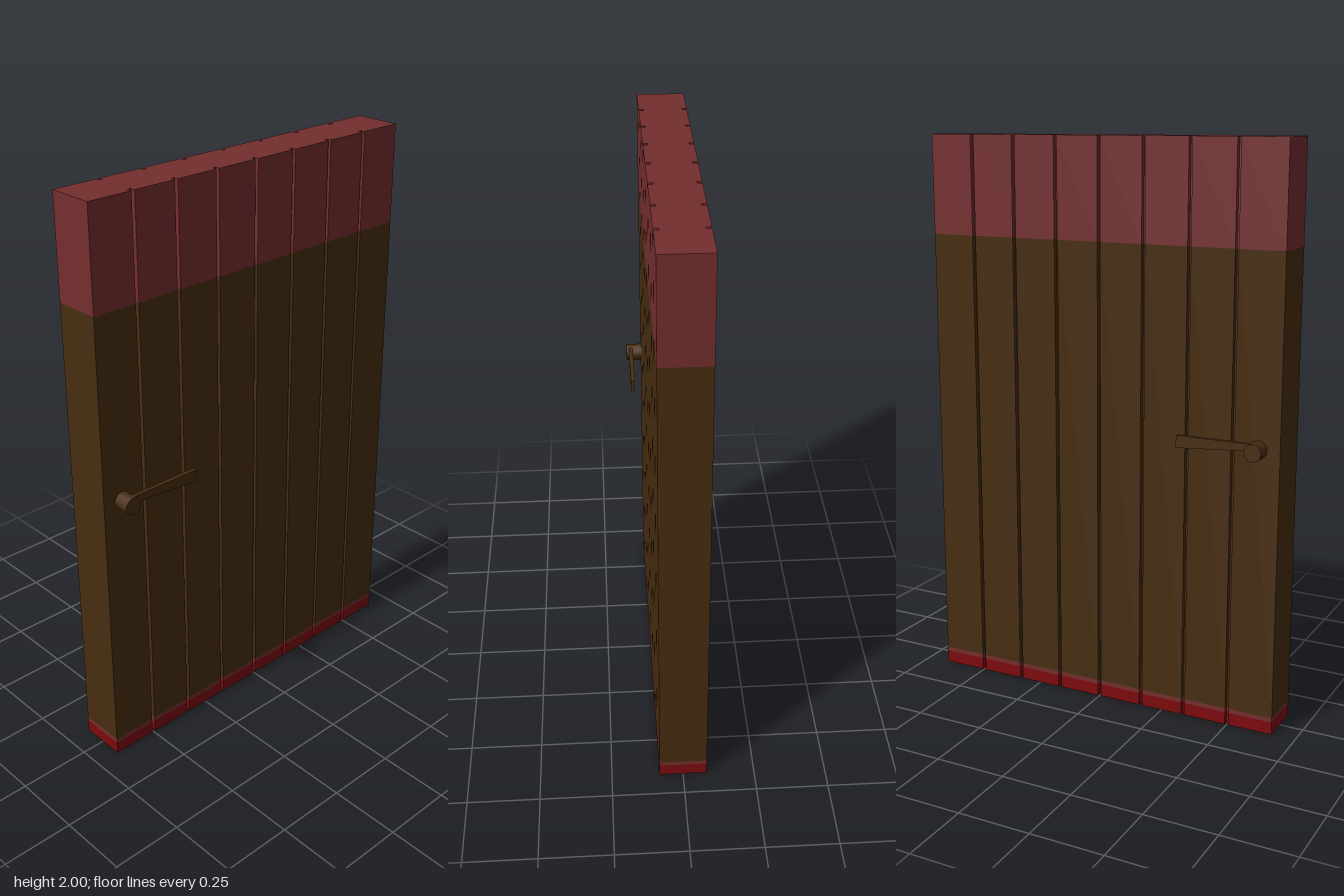
import * as THREE from 'three';

const mat = (name, color) => {
  const m = new THREE.MeshStandardMaterial({ color });
  m.name = name;
  return m;
};

// Outline of the slab seen from above, with grooves between the planks
function plankOutline(halfW, halfD, planks, grooveW, grooveD) {
  const pts = [];
  for (const s of [1, -1]) {
    pts.push([-halfW * s, -halfD * s]);
    for (let i = 1; i < planks; i++) {
      const x = (-halfW + (2 * halfW * i) / planks) * s;
      const a = x - (grooveW / 2) * s, b = x + (grooveW / 2) * s;
      const outer = -halfD * s, inner = -(halfD - grooveD) * s;
      pts.push([a, outer], [a, inner], [b, inner], [b, outer]);
    }
    pts.push([halfW * s, -halfD * s]);
  }
  return new THREE.Shape(pts.map(([x, y]) => new THREE.Vector2(x, y)));
}

export function createModel() {
  const door = new THREE.Group();
  door.name = 'door';
  const brown = mat('dark brown wood', 0x472d10);
  const maroon = mat('maroon paint', 0x752e2e);
  const red = mat('deep red paint', 0x7d0b0e);

  const add = (parent, name, geometry, material) => {
    const mesh = new THREE.Mesh(geometry, material);
    mesh.name = name;
    parent.add(mesh);
    return mesh;
  };

  // Planked slab, split into painted bands
  const outline = plankOutline(0.665, 0.083, 8, 0.012, 0.017);
  const bands = [
    ['bottomBand', 0, 0.045, red],
    ['bottomTrim', 0.045, 0.06, maroon],
    ['woodPanel', 0.06, 1.65, brown],
    ['topBand', 1.65, 2, maroon],
  ];
  for (const [name, y0, y1, material] of bands) {
    const g = new THREE.ExtrudeGeometry(outline, { depth: y1 - y0, bevelEnabled: false });
    g.rotateX(-Math.PI / 2).translate(0, y0, 0);
    add(door, name, g, material);
  }

  // Lever handle on each face
  const leverShape = new THREE.Shape([
    new THREE.Vector2(-0.59, 1.005),
    new THREE.Vector2(-0.315, 0.985),
    new THREE.Vector2(-0.315, 1.028),
    new THREE.Vector2(-0.59, 1.028),
  ]);
  for (const [side, s] of [['front', 1], ['back', -1]]) {
    const handle = new THREE.Group();
    handle.name = side + 'Handle';
    const knob = new THREE.CylinderGeometry(0.031, 0.031, 0.06, 12);
    knob.rotateX(Math.PI / 2).translate(-0.59, 1, s * 0.11);
    add(handle, side + 'Knob', knob, brown);
    const lever = new THREE.ExtrudeGeometry(leverShape, { depth: 0.015, bevelEnabled: false });
    lever.translate(0, 0, s * 0.1245 - 0.0075);
    add(handle, side + 'Lever', lever, brown);
    door.add(handle);
  }
  return door;
}
